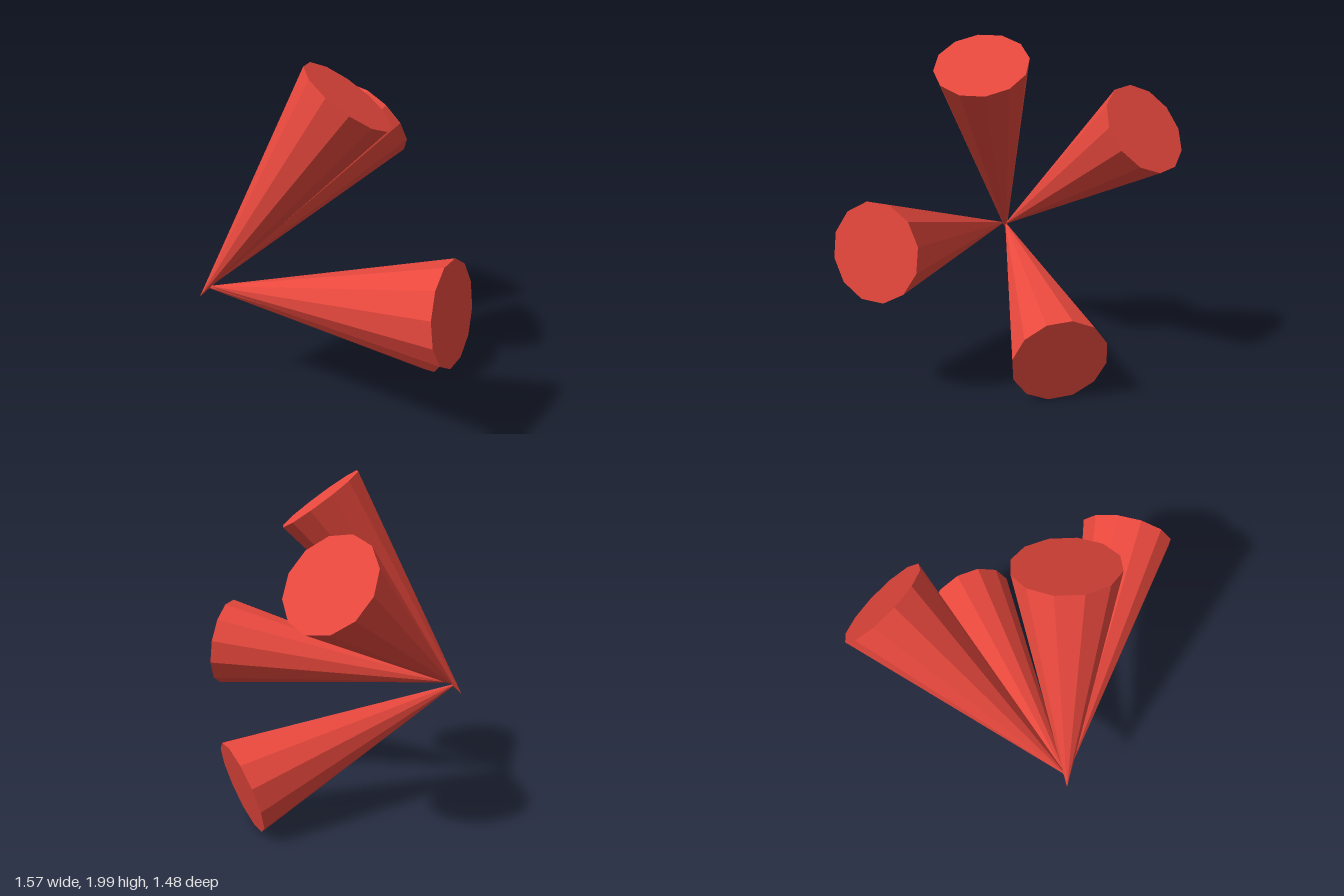
import * as THREE from 'three';

const RADIUS = 0.275;
const SIDES = 12;
const UP = new THREE.Vector3(0, 1, 0);

// tip, centre of the flat end, turn about the axis in degrees
const CONES = [
  { name: 'upperFrontCone', tip: [-0.78, 0.65, 0.62], end: [0.022, 1.84, 0.267], turn: 6 },
  { name: 'upperBackCone', tip: [-0.73, 0.71, 0.6], end: [-0.35, 1.495, -0.58], turn: 6 },
  { name: 'sideCone', tip: [-0.72, 0.725, 0.6], end: [0.75, 0.885, 0.467], turn: 18 },
  { name: 'lowerBackCone', tip: [-0.75, 0.72, 0.61], end: [0.24, 0.27, -0.38], turn: 6 },
];

// Faceted cone running from its tip to a flat closed end
function makeCone({ name, tip, end, turn }, material) {
  const a = new THREE.Vector3(...tip);
  const b = new THREE.Vector3(...end);
  const axis = b.clone().sub(a);
  const geometry = new THREE.CylinderGeometry(
    RADIUS, 0, axis.length(), SIDES, 1, false, THREE.MathUtils.degToRad(turn));
  const cone = new THREE.Mesh(geometry, material);
  cone.name = name;
  cone.quaternion.setFromUnitVectors(UP, axis.normalize());
  cone.position.copy(a).add(b).multiplyScalar(0.5);
  return cone;
}

export function createModel() {
  const group = new THREE.Group();
  group.name = 'coneCluster';
  const red = new THREE.MeshStandardMaterial({ color: 0xe8483d, flatShading: true });
  for (const spec of CONES) group.add(makeCone(spec, red));
  return group;
}
